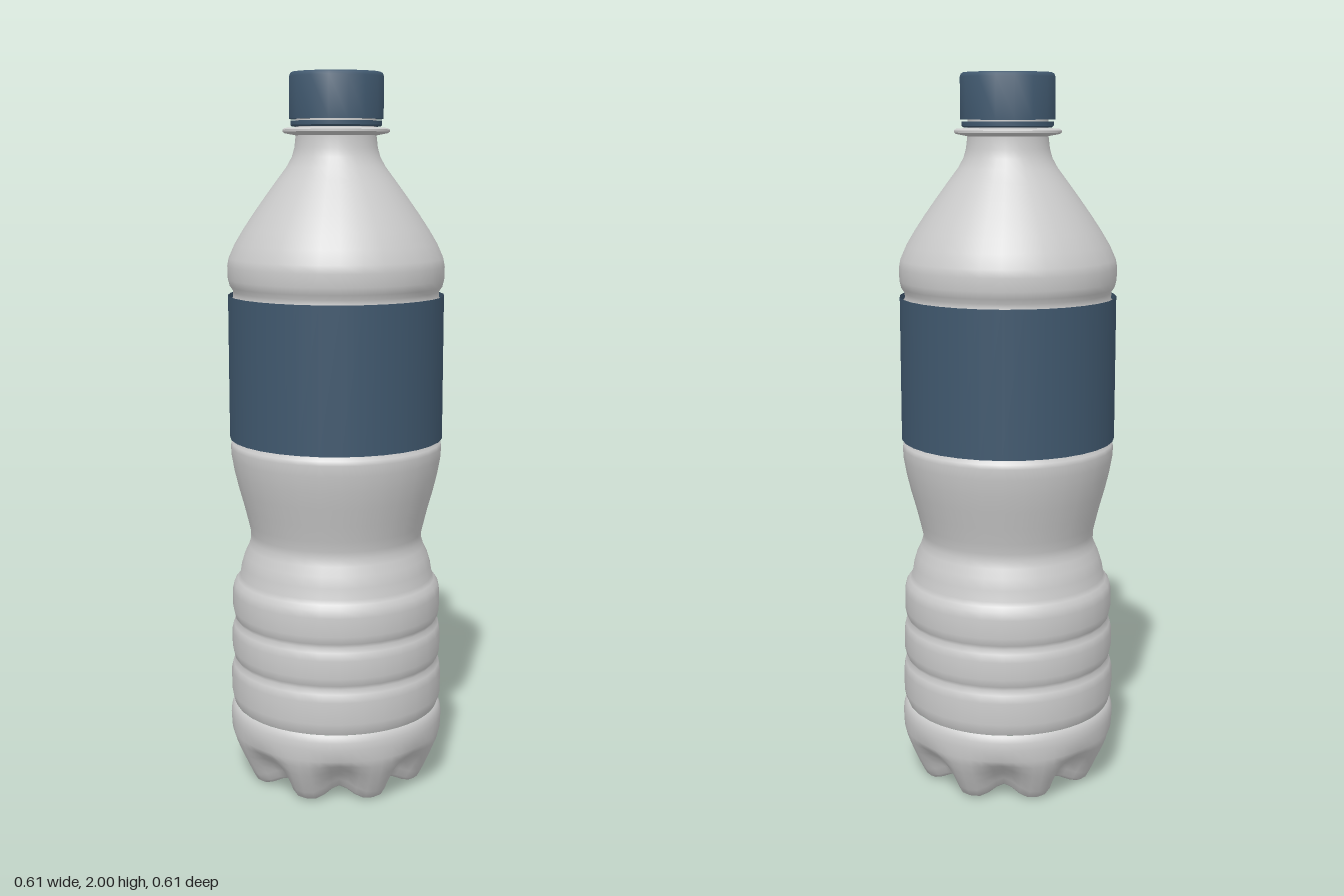
import * as THREE from 'three';
import { mergeVertices, toCreasedNormals } from 'three/addons/utils/BufferGeometryUtils.js';

const plastic = new THREE.MeshStandardMaterial({ color: 0xcccccc });
const blue = new THREE.MeshStandardMaterial({ color: 0x40586e });

// Revolve [radius, height] pairs, listed from bottom to top on the outside
function lathe(profile, segments, start = 0) {
  const pts = profile.map(([r, y]) => new THREE.Vector2(r, y));
  return new THREE.LatheGeometry(pts, segments, start);
}

function add(group, name, geometry, material) {
  const mesh = new THREE.Mesh(geometry, material);
  mesh.name = name;
  group.add(mesh);
}

// Base with eight feet: valleys between them are drawn inward and upward
function footedBase() {
  const profile = [
    [0, 0.055], [0.05, 0.05], [0.1, 0.036], [0.15, 0.018], [0.2, 0.004], [0.235, 0],
    [0.25, 0.008], [0.262, 0.03], [0.276, 0.06], [0.29, 0.092], [0.301, 0.122],
    [0.306, 0.145], [0.307, 0.18], [0.305, 0.2], [0.3, 0.214], [0.294, 0.22],
  ];
  const g = lathe(profile, 64);
  g.deleteAttribute('uv');
  g.deleteAttribute('normal');
  const p = g.attributes.position;
  for (let i = 0; i < p.count; i++) {
    const x = p.getX(i), y = p.getY(i), z = p.getZ(i);
    const r = Math.hypot(x, z);
    const valley = Math.pow(0.5 + 0.5 * Math.cos(8 * Math.atan2(x, z)), 1.4);
    const strength = THREE.MathUtils.smoothstep(r, 0.02, 0.2)
      * (1 - THREE.MathUtils.smoothstep(y, 0.02, 0.16));
    const k = 1 - 0.17 * valley * strength;
    p.setXYZ(i, x * k, y + 0.028 * valley * strength, z * k);
  }
  const merged = mergeVertices(g, 1e-5);
  merged.computeVertexNormals();
  return merged;
}

// Ribs, waist, label seat, shoulder and neck
function bodyProfile() {
  const pts = [[0.294, 0.22]];
  const grooves = [0.22, 0.35, 0.468, 0.588];
  for (let i = 0; i < 3; i++) {
    const a = grooves[i], b = grooves[i + 1], r = 0.304 - i * 0.003;
    pts.push([r - 0.005, a + 0.012], [r, a + 0.034], [r, b - 0.034],
      [r - 0.005, b - 0.012], [r - 0.015, b]);
  }
  pts.push(
    [0.276, 0.6], [0.271, 0.63], [0.262, 0.66], [0.25, 0.685], [0.244, 0.705],
    [0.244, 0.725], [0.251, 0.755], [0.262, 0.8], [0.276, 0.85], [0.288, 0.9],
    [0.296, 0.945], [0.298, 0.975], [0.295, 0.987], [0.286, 0.995], [0.286, 1.005],
    [0.292, 1.015], [0.292, 1.385], [0.286, 1.395], [0.286, 1.412], [0.295, 1.425],
    [0.3, 1.445], [0.301, 1.48], [0.297, 1.502], [0.28, 1.54], [0.256, 1.58],
    [0.228, 1.622], [0.196, 1.667], [0.163, 1.712], [0.136, 1.748], [0.121, 1.775],
    [0.114, 1.8], [0.11, 1.835], [0.11, 1.9],
  );
  return pts;
}

export function createModel() {
  const bottle = new THREE.Group();
  bottle.name = 'bottle';

  add(bottle, 'footedBase', footedBase(), plastic);
  add(bottle, 'body', lathe(bodyProfile(), 32), plastic);

  // Label wrapped round the middle
  const label = new THREE.CylinderGeometry(0.3, 0.3, 0.4, 32, 1, true);
  label.translate(0, 1.2, 0);
  const labelMaterial = blue.clone();
  labelMaterial.side = THREE.DoubleSide;
  add(bottle, 'label', label, labelMaterial);

  // Thin collar below the cap
  const collar = lathe([[0.108, 1.832], [0.14, 1.838], [0.146, 1.842], [0.146, 1.848],
    [0.14, 1.852], [0.108, 1.854]], 64);
  add(bottle, 'neckCollar', toCreasedNormals(collar, 0.9), plastic);

  // Tamper ring and screw cap, sixteen sided
  const ring = lathe([[0.108, 1.856], [0.122, 1.856], [0.126, 1.86], [0.126, 1.871],
    [0.108, 1.871]], 16, Math.PI / 16);
  add(bottle, 'tamperRing', toCreasedNormals(ring, 0.6), blue);
  const cap = lathe([[0.108, 1.876], [0.13, 1.876], [0.13, 1.988], [0.127, 1.996],
    [0.12, 2], [0, 2]], 16, Math.PI / 16);
  add(bottle, 'cap', toCreasedNormals(cap, 0.8), blue);

  return bottle;
}
